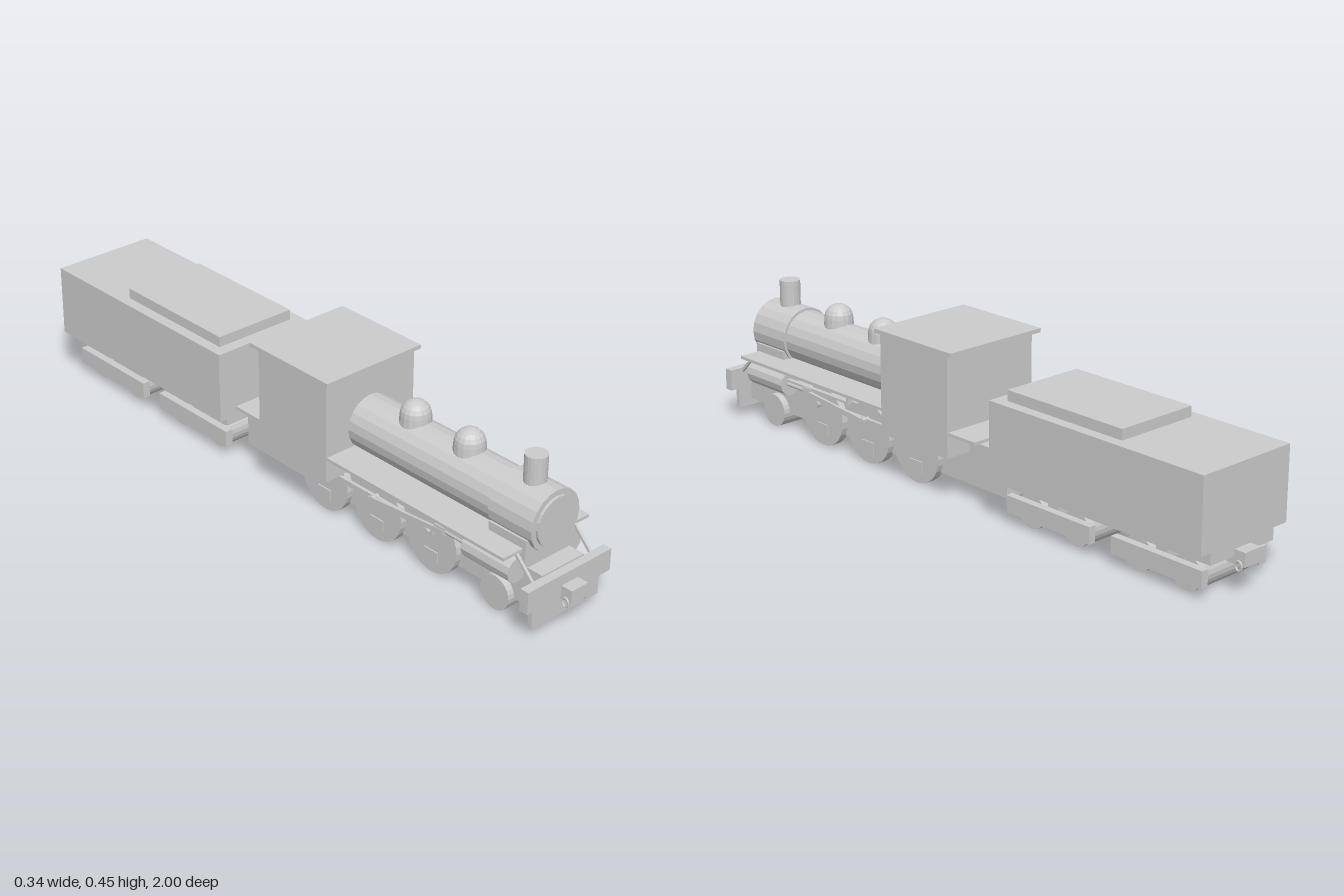
import * as THREE from 'three';

export function createModel() {
  const model = new THREE.Group();
  model.name = 'steamLocomotiveAndTender';
  const mat = new THREE.MeshStandardMaterial({ color: 0xcccccc, flatShading: true });

  function add(name, geometry, x = 0, y = 0, z = 0, parent = model) {
    const mesh = new THREE.Mesh(geometry, mat);
    mesh.name = name;
    mesh.position.set(x, y, z);
    parent.add(mesh);
    return mesh;
  }
  // Box given by its limits on each axis
  function box(name, x0, x1, y0, y1, z0, z1) {
    return add(name, new THREE.BoxGeometry(x1 - x0, y1 - y0, z1 - z0),
      (x0 + x1) / 2, (y0 + y1) / 2, (z0 + z1) / 2);
  }
  const wide = (name, w, y0, y1, z0, z1) => box(name, -w, w, y0, y1, z0, z1);
  // Cylinder lying along z
  function barrel(name, r, x, y, z0, z1, sides = 20) {
    const g = new THREE.CylinderGeometry(r, r, z1 - z0, sides).rotateX(Math.PI / 2);
    return add(name, g, x, y, (z0 + z1) / 2);
  }
  // Cylinder lying along x
  function roller(name, r, x0, x1, y, z, sides = 24) {
    const g = new THREE.CylinderGeometry(r, r, x1 - x0, sides).rotateZ(Math.PI / 2);
    return add(name, g, (x0 + x1) / 2, y, z);
  }
  // Flat bar between two points in a side plane
  function bar(name, x, y0, z0, y1, z1, height, width) {
    const length = Math.hypot(y1 - y0, z1 - z0);
    const m = add(name, new THREE.BoxGeometry(width, height, length), x, (y0 + y1) / 2, (z0 + z1) / 2);
    m.rotation.x = -Math.atan2(y1 - y0, z1 - z0);
    return m;
  }
  const sides = [-1, 1];

  // Engine frame and decks
  wide('mainFrame', 0.077, 0.047, 0.16, -0.2, 0.94);
  wide('rearDeck', 0.077, 0.16, 0.175, -0.2, 0.1);
  wide('drawbar', 0.05, 0.145, 0.165, -0.25, -0.18);
  wide('runningBoard', 0.157, 0.208, 0.217, -0.155, 0.88);
  wide('fireboxSupport', 0.06, 0.16, 0.21, 0.1, 0.26);

  // Boiler and its fittings
  barrel('boiler', 0.08, 0, 0.275, 0.2, 0.77);
  barrel('smokebox', 0.088, 0, 0.275, 0.755, 0.905);
  barrel('smokeboxDoor', 0.072, 0, 0.275, 0.9, 0.913);
  wide('smokeboxSaddle', 0.088, 0.155, 0.242, 0.76, 0.89);
  add('chimney', new THREE.CylinderGeometry(0.031, 0.031, 0.1, 20), 0, 0.387, 0.83);
  for (const z of [0.6, 0.4]) {
    const profile = [new THREE.Vector2(0.045, 0.335), new THREE.Vector2(0.043, 0.37)];
    for (let i = 1; i <= 5; i++) {
      const a = (i / 5) * Math.PI / 2;
      profile.push(new THREE.Vector2(i === 5 ? 0 : 0.043 * Math.cos(a), 0.37 + 0.041 * Math.sin(a)));
    }
    add('steamDome', new THREE.LatheGeometry(profile, 16), 0, 0, z);
  }

  // Cab
  wide('cab', 0.16, 0.142, 0.44, -0.05, 0.225);
  wide('cabRoof', 0.17, 0.44, 0.452, -0.075, 0.24);

  // Front beam and guard plate
  wide('bufferBeam', 0.153, 0.09, 0.155, 0.938, 0.965);
  wide('guardPlate', 0.123, 0.027, 0.092, 0.942, 0.955);
  for (const s of sides) {
    bar('beamStrut', s * 0.107, 0.145, 0.94, 0.21, 0.875, 0.008, 0.008);
  }

  // Couplers at both ends
  for (const s of sides) {
    const [a, b] = [s * 0.94, s].sort((p, q) => p - q);
    wide('coupler', 0.03, 0.083, 0.123, a, b);
    for (const t of sides) {
      const hook = add('couplerHook', new THREE.TorusGeometry(0.01, 0.003, 6, 12).rotateY(Math.PI / 2),
        t * 0.033, 0.083, s * 0.983);
      hook.scale.y = 1.3;
    }
  }

  // Driving wheels, cylinders and running gear
  roller('leadingWheels', 0.05, -0.098, 0.098, 0.05, 0.8);
  const driverZ = [0.568, 0.36, 0.15];
  for (const s of sides) {
    for (const z of driverZ) {
      const [a, b] = [s * 0.07, s * 0.096].sort((p, q) => p - q);
      roller('drivingWheel', 0.092, a, b, 0.092, z, 28);
      add('counterweight', new THREE.BoxGeometry(0.006, 0.035, 0.05), s * 0.097, 0.05, z);
      add('crankPin', new THREE.CylinderGeometry(0.01, 0.01, 0.03, 10).rotateZ(Math.PI / 2), s * 0.105, 0.133, z);
    }
    barrel('steamCylinder', 0.037, s * 0.1, 0.158, 0.712, 0.878, 12);
    barrel('pistonRod', 0.007, s * 0.108, 0.158, 0.6, 0.715, 8);
    bar('slideBar', s * 0.108, 0.17, 0.715, 0.17, 0.43, 0.007, 0.014);
    add('slideBarHanger', new THREE.BoxGeometry(0.014, 0.045, 0.009), s * 0.108, 0.188, 0.43);
    add('crosshead', new THREE.BoxGeometry(0.018, 0.026, 0.035), s * 0.11, 0.158, 0.615);
    bar('connectingRod', s * 0.117, 0.158, 0.63, 0.133, 0.35, 0.014, 0.008);
    bar('couplingRod', s * 0.105, 0.133, 0.585, 0.133, 0.13, 0.016, 0.01);
  }

  // Tender body
  wide('tenderBody', 0.163, 0.142, 0.355, -0.97, -0.218);
  wide('tenderUnderframe', 0.12, 0.104, 0.145, -0.965, -0.242);
  wide('coalCover', 0.13, 0.35, 0.386, -0.67, -0.255);

  // Tender bogies
  for (const z of [-0.4, -0.787]) {
    wide('bogieBolster', 0.1, 0.06, 0.106, z - 0.02, z + 0.02);
    for (const s of sides) {
      const [a, b] = [s * 0.1, s * 0.123].sort((p, q) => p - q);
      box('bogieSideFrame', a, b, 0.033, 0.083, z - 0.155, z + 0.155);
      roller('bogieWheels', 0.05, -0.098, 0.098, 0.05, z + s * 0.083);
    }
  }
  return model;
}
